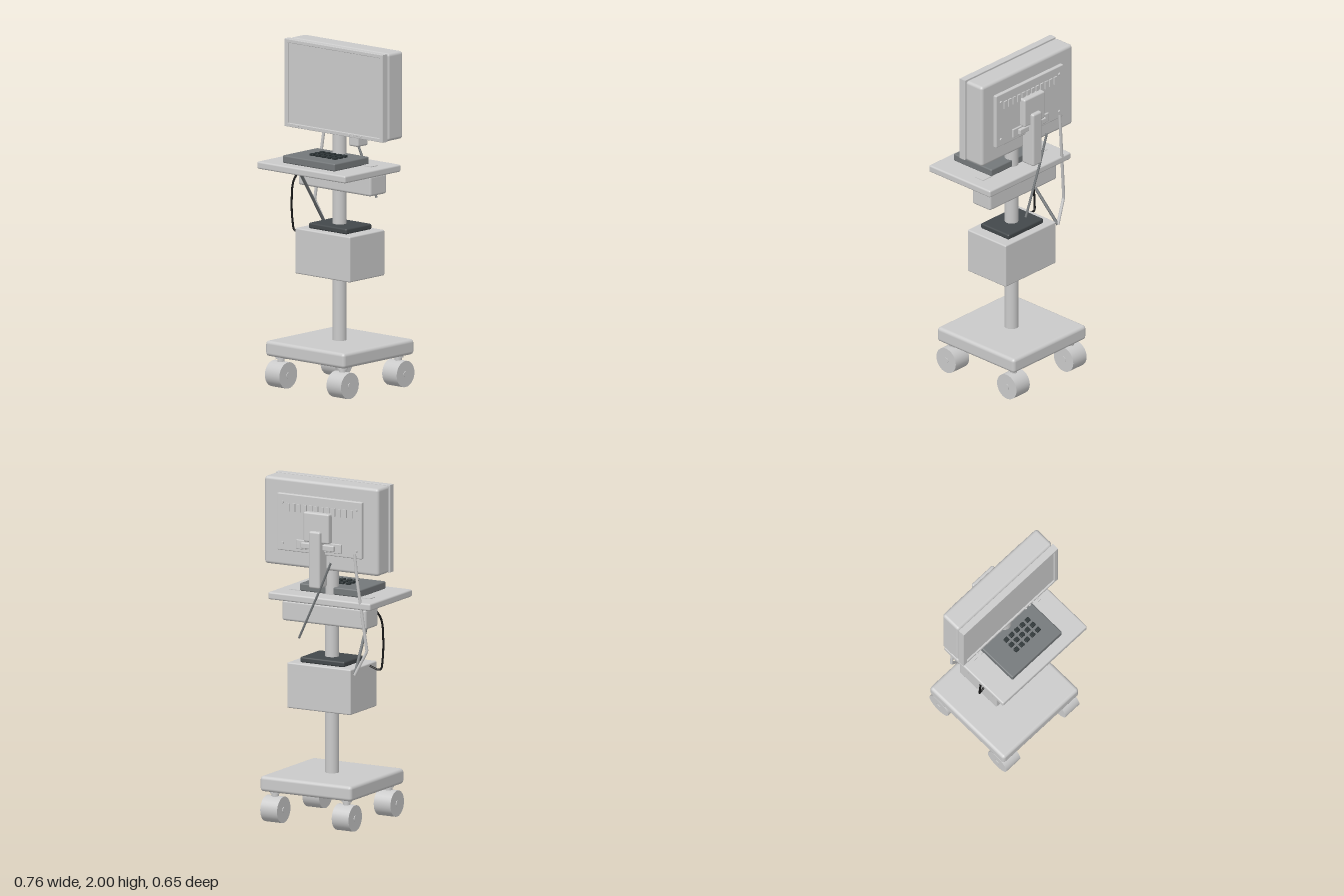
import * as THREE from 'three';
import { RoundedBoxGeometry } from 'three/addons/geometries/RoundedBoxGeometry.js';

const mat = (name, color) => {
  const m = new THREE.MeshStandardMaterial({ color });
  m.name = name;
  return m;
};

export function createModel() {
  const root = new THREE.Group();
  root.name = 'workstationCart';
  const light = mat('lightGrey', 0xcacaca);
  const mid = mat('midGrey', 0x74787a);
  const dark = mat('darkGrey', 0x43484b);
  const keyColor = mat('keyBlack', 0x2a3234);
  const black = mat('cableBlack', 0x141414);

  const add = (name, geo, material, x = 0, y = 0, z = 0, parent = root) => {
    const m = new THREE.Mesh(geo, material);
    m.name = name;
    m.position.set(x, y, z);
    parent.add(m);
    return m;
  };
  // Box from its limits, with optional rounded edges
  const box = (name, material, [x0, x1], [y0, y1], [z0, z1], r = 0, parent = root) => {
    const s = [x1 - x0, y1 - y0, z1 - z0];
    const geo = r ? new RoundedBoxGeometry(...s, 3, r) : new THREE.BoxGeometry(...s);
    return add(name, geo, material, (x0 + x1) / 2, (y0 + y1) / 2, (z0 + z1) / 2, parent);
  };
  // Cable through points; straight segments or a smooth curve
  const cable = (name, material, r, pts, smooth = false) => {
    const v = pts.map((p) => new THREE.Vector3(...p));
    let path = new THREE.CatmullRomCurve3(v, false, 'centripetal');
    if (!smooth) {
      path = new THREE.CurvePath();
      for (let i = 1; i < v.length; i++) path.add(new THREE.LineCurve3(v[i - 1], v[i]));
    }
    add(name, new THREE.TubeGeometry(path, 40, r, 8), material);
  };

  // Base plate, pole and cabinets
  box('basePlate', light, [-0.305, 0.305], [0.185, 0.275], [-0.317, 0.295], 0.02);
  add('pole', new THREE.CylinderGeometry(0.04, 0.04, 1.25, 32), light, 0, 0.875, -0.01);
  box('lowerCabinet', light, [-0.212, 0.212], [0.658, 0.925], [-0.163, 0.14], 0.008);
  box('cabinetDevice', dark, [-0.147, 0.147], [0.925, 0.958], [-0.125, 0.097], 0.01);
  box('underShelfBox', light, [-0.28, 0.28], [1.155, 1.275], [-0.105, 0.038], 0.014);

  // Casters
  for (const x of [-0.238, 0.238]) for (const z of [-0.25, 0.23]) {
    const caster = new THREE.Group();
    caster.name = 'caster';
    caster.position.set(x, 0, z);
    root.add(caster);
    const wheel = add('wheel', new THREE.CylinderGeometry(0.077, 0.077, 0.112, 28), light, 0, 0.077, 0, caster);
    wheel.rotation.z = Math.PI / 2;
    const hub = add('hub', new THREE.CylinderGeometry(0.018, 0.018, 0.12, 12), light, 0, 0.077, 0, caster);
    hub.rotation.z = Math.PI / 2;
    add('stem', new THREE.CylinderGeometry(0.021, 0.021, 0.05, 16), light, 0, 0.165, 0, caster);
    add('stemCollar', new THREE.CylinderGeometry(0.031, 0.031, 0.015, 16), light, 0, 0.177, 0, caster);
  }

  // Shelf with cable cover plates
  box('shelf', light, [-0.34, 0.34], [1.282, 1.325], [-0.16, 0.325], 0.01);
  for (const x of [-0.23, 0.23])
    box('coverPlate', light, [x - 0.04, x + 0.04], [1.323, 1.329], [-0.04, 0.02]);

  // Keypad
  box('keypad', mid, [-0.201, 0.201], [1.325, 1.37], [-0.04, 0.26], 0.008);
  for (let i = 0; i < 5; i++) for (let j = 0; j < 3; j++)
    add('key', new RoundedBoxGeometry(0.028, 0.018, 0.025, 2, 0.003), keyColor,
      -0.063 + i * 0.043, 1.374, 0.07 + j * 0.0415);

  // Monitor: rear housing, front frame and recessed screen
  const monitor = new THREE.Group();
  monitor.name = 'monitor';
  root.add(monitor);
  box('rearHousing', light, [-0.38, 0.38], [1.486, 2], [-0.135, -0.003], 0.018, monitor);
  const rect = (shape, w, h) => shape.moveTo(-w, -h).lineTo(w, -h).lineTo(w, h).lineTo(-w, h).closePath();
  const frame = rect(new THREE.Shape(), 0.377, 0.254);
  frame.holes.push(rect(new THREE.Path(), 0.355, 0.238));
  add('frontFrame', new THREE.ExtrudeGeometry(frame, {
    depth: 0.037, bevelEnabled: true, bevelThickness: 0.003, bevelSize: 0.003, bevelSegments: 2,
  }), light, 0, 1.743, 0.003, monitor);
  box('screen', light, [-0.358, 0.358], [1.503, 1.983], [-0.004, 0.033], 0, monitor);
  for (const x of [0.12, 0.15, 0.18, 0.21])
    box('button', light, [x - 0.005, x + 0.005], [1.495, 1.501], [0.042, 0.05], 0, monitor);
  box('indicator', light, [-0.282, -0.268], [1.495, 1.501], [0.042, 0.05], 0, monitor);

  // Rear panel with vents, screws and sockets
  box('rearPanel', light, [-0.282, 0.282], [1.58, 1.915], [-0.156, -0.13], 0.006, monitor);
  for (let i = 0; i < 12; i++) {
    const x = -0.209 + i * 0.038;
    box('vent', light, [x - 0.012, x + 0.012], [1.815, 1.862], [-0.164, -0.154], 0, monitor);
  }
  for (const x of [-0.245, 0.245]) for (const y of [1.625, 1.865]) {
    const screw = add('screw', new THREE.CylinderGeometry(0.009, 0.009, 0.012, 12), light, x, y, -0.158, monitor);
    screw.rotation.x = Math.PI / 2;
  }
  box('socketRail', light, [-0.15, 0.15], [1.6, 1.655], [-0.166, -0.15], 0.004, monitor);
  box('socketBar', light, [-0.11, 0.11], [1.61, 1.645], [-0.184, -0.155], 0.006, monitor);

  // Mount and arm
  box('mountPlate', light, [-0.085, 0.085], [1.655, 1.83], [-0.196, -0.15], 0.01);
  box('mountArm', light, [-0.037, 0.037], [1.39, 1.725], [-0.218, -0.125], 0.012);

  // Cables
  cable('monitorCable', light, 0.009, [[-0.24, 1.61, -0.165], [-0.255, 1.45, -0.16],
    [-0.305, 1.04, -0.135], [-0.235, 0.895, -0.155]]);
  cable('risingCable', mid, 0.009, [[-0.235, 0.895, -0.155], [-0.182, 1.27, 0.14]]);
  cable('hangingCable', mid, 0.007, [[-0.1, 1.55, -0.195], [-0.03, 1.38, -0.205], [0.1, 1.09, -0.217]]);
  cable('powerCable', black, 0.006, [[-0.235, 1.28, 0.03], [-0.275, 1.19, 0.077], [-0.285, 1.08, 0.085],
    [-0.285, 0.95, 0.078], [-0.275, 0.892, 0.07], [-0.205, 0.91, 0.06]], true);

  return root;
}
